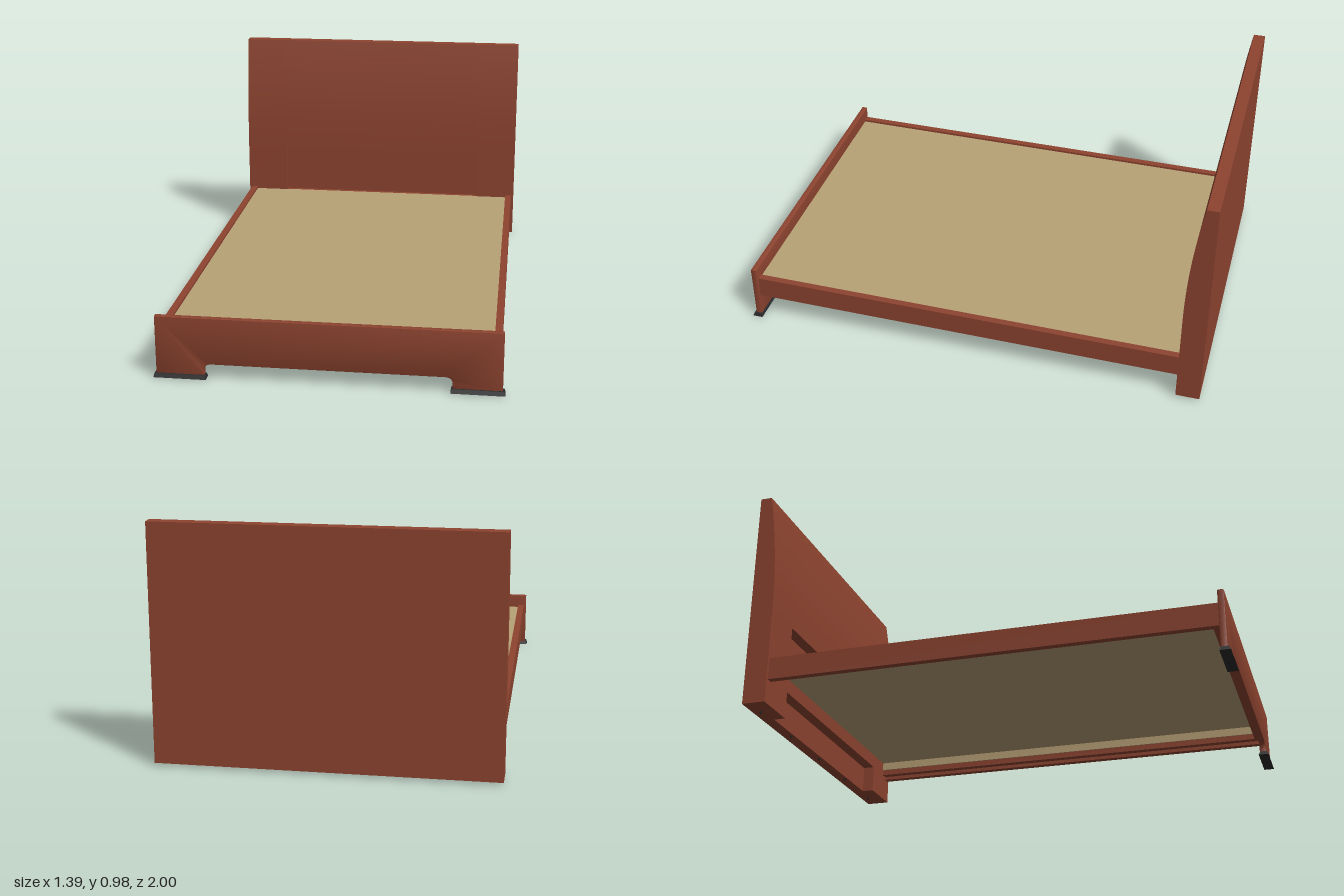
import * as THREE from 'three';
import { toCreasedNormals } from 'three/addons/utils/BufferGeometryUtils.js';

export function createModel() {
  const group = new THREE.Group();
  const material = (name, color) => {
    const m = new THREE.MeshStandardMaterial({ color });
    m.name = name;
    return m;
  };
  const wood = material('redBrownWood', 0x8e4430);
  const tan = material('tanDeck', 0xb8a276);
  const black = material('blackFoot', 0x2b2b2d);

  const add = (name, geometry, mat, x = 0, y = 0, z = 0) => {
    const mesh = new THREE.Mesh(geometry, mat);
    mesh.name = name;
    mesh.position.set(x, y, z);
    group.add(mesh);
    return mesh;
  };
  // Box given by its minimum and maximum on each axis
  const box = (name, mat, x0, x1, y0, y1, z0, z1) =>
    add(name, new THREE.BoxGeometry(x1 - x0, y1 - y0, z1 - z0), mat,
      (x0 + x1) / 2, (y0 + y1) / 2, (z0 + z1) / 2);

  // Headboard: a side profile (local x is -z) swept across the width
  const headPanel = (name, x0, x1, recessed) => {
    const s = new THREE.Shape();
    s.moveTo(1, 0.012);
    s.lineTo(1, 0.98);
    s.lineTo(0.95, 0.98);
    s.quadraticCurveTo(0.9, 0.705, 0.9, 0.43);
    if (recessed) {
      s.lineTo(0.95, 0.43);
      s.lineTo(0.95, 0.012);
    } else {
      s.lineTo(0.9, 0.012);
    }
    s.closePath();
    const g = new THREE.ExtrudeGeometry(s, { depth: x1 - x0, bevelEnabled: false, curveSegments: 14 });
    g.rotateY(Math.PI / 2);
    add(name, toCreasedNormals(g, 0.4), wood, x0);
  };
  headPanel('headboardRight', -0.686, -0.49, false);
  headPanel('headboardCentre', -0.49, 0.49, true);
  headPanel('headboardLeft', 0.49, 0.686, false);

  // Small pointed glides under the headboard
  for (const x of [-0.59, -0.295, 0, 0.295, 0.59]) {
    add('glide', new THREE.CylinderGeometry(0.006, 0.002, 0.012, 10), black, x, 0.006, -0.963);
  }

  // Footboard with a round-cornered arch cut from its lower edge
  const b = 0.003;
  const w = 0.684 - b, low = 0.016 + b, top = 0.26 - b;
  const ax = 0.49 + b, ay = 0.065 + b, r = 0.033;
  const f = new THREE.Shape();
  f.moveTo(-w, low);
  f.lineTo(-ax, low);
  f.lineTo(-ax, ay - r);
  f.quadraticCurveTo(-ax, ay, -ax + r, ay);
  f.lineTo(ax - r, ay);
  f.quadraticCurveTo(ax, ay, ax, ay - r);
  f.lineTo(ax, low);
  f.lineTo(w, low);
  f.lineTo(w, top);
  f.lineTo(-w, top);
  f.closePath();
  const footGeometry = new THREE.ExtrudeGeometry(f, {
    depth: 0.026 - 2 * b, bevelThickness: b, bevelSize: b, bevelSegments: 2, curveSegments: 8,
  });
  add('footboard', toCreasedNormals(footGeometry, 0.6), wood, 0, 0, 0.961 + b);

  // Flared black feet under both ends of the footboard
  for (const side of [-1, 1]) {
    const g = new THREE.BoxGeometry(0.204, 0.016, 0.03);
    const p = g.attributes.position;
    for (let i = 0; i < p.count; i++) {
      if (p.getY(i) < 0) {
        p.setX(i, p.getX(i) + Math.sign(p.getX(i)) * 0.004);
        p.setZ(i, p.getZ(i) + Math.sign(p.getZ(i)) * 0.007);
      }
    }
    g.computeVertexNormals();
    add('foot', g, black, side * 0.588, 0.012, 0.978);
  }

  // Side rails with cleats that carry the deck
  for (const side of [-1, 1]) {
    const span = (a, c) => (side > 0 ? [a, c] : [-c, -a]);
    box('sideRail', wood, ...span(0.645, 0.674), 0.115, 0.21, -0.901, 0.963);
    box('sideCleat', wood, ...span(0.615, 0.646), 0.13, 0.155, -0.9, 0.961);
    box('deckSideRim', tan, ...span(0.61, 0.645), 0.155, 0.192, -0.9, 0.96);
  }
  box('footCleat', wood, -0.616, 0.616, 0.13, 0.155, 0.93, 0.962);
  box('deckFootRim', tan, -0.611, 0.611, 0.155, 0.192, 0.925, 0.96);
  box('headCrossRail', wood, -0.616, 0.616, 0.13, 0.192, -0.95, -0.9);

  // Flat deck
  box('deck', tan, -0.6455, 0.6455, 0.19, 0.2, -0.905, 0.962);

  return group;
}
